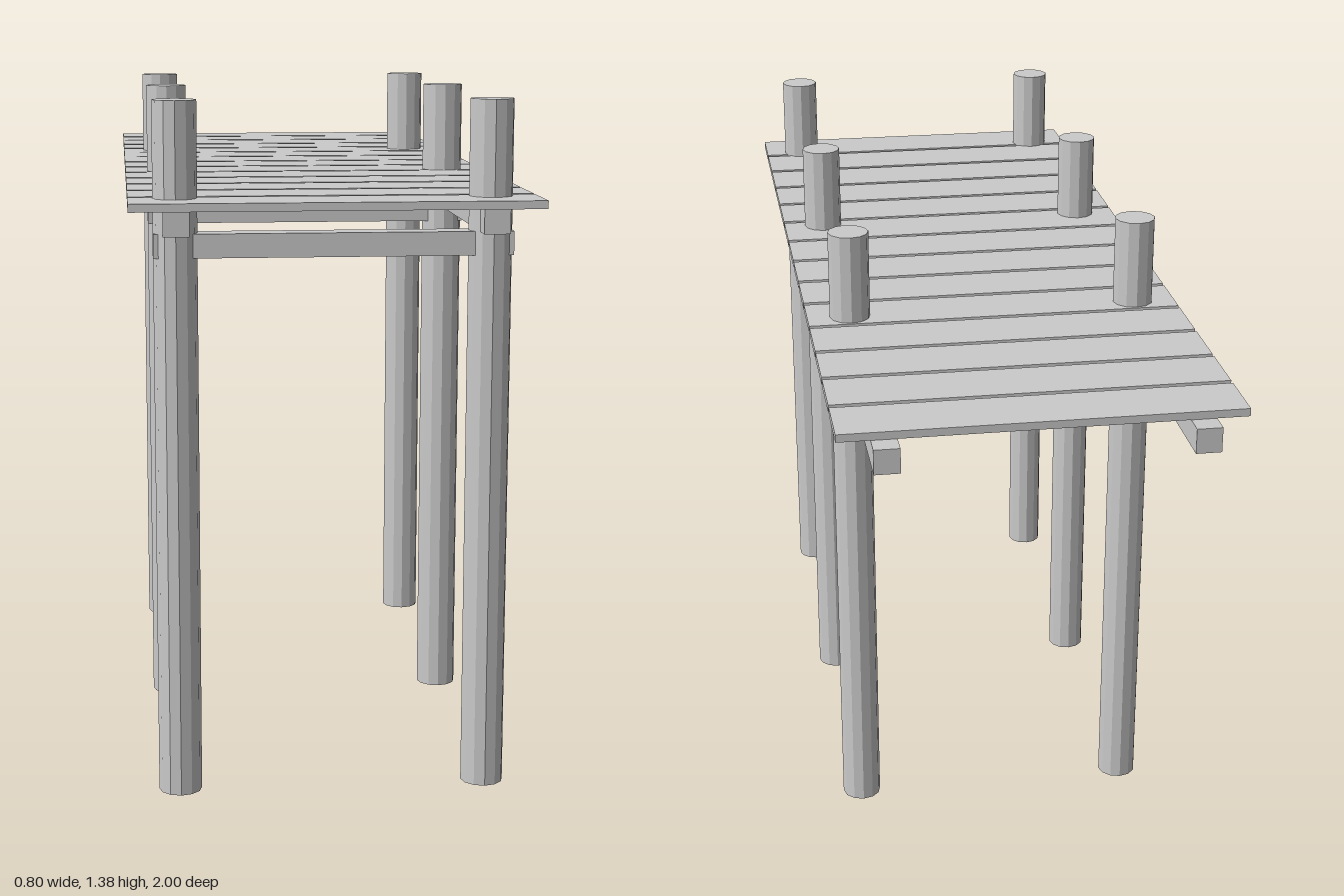
import * as THREE from 'three';

export function createModel() {
  const model = new THREE.Group();
  const material = new THREE.MeshStandardMaterial({ color: 0xcccccc, flatShading: true });

  const add = (name, geometry, x, y, z) => {
    const mesh = new THREE.Mesh(geometry, material);
    mesh.name = name;
    mesh.position.set(x, y, z);
    model.add(mesh);
  };

  const postX = 0.307, postHeight = 1.382;
  const postRows = [0.89, 0.272, -0.346];
  const deckBottom = 1.178, beam = 0.051;

  // Round posts, rising through the deck
  const post = new THREE.CylinderGeometry(0.043, 0.043, postHeight, 12);
  // Cross beams joining each pair of posts under the long beams
  const cross = new THREE.BoxGeometry(0.7, 0.047, beam);
  for (const z of postRows) {
    for (const side of [-1, 1]) add('post', post, side * postX, postHeight / 2, z);
    add('crossBeam', cross, 0, 1.1035, z);
  }

  // Long beams carrying the planks, projecting at the back
  const longBeam = new THREE.BoxGeometry(beam, beam, 1.968);
  for (const side of [-1, 1]) add('longBeam', longBeam, side * postX, deckBottom - beam / 2, -0.016);

  // Evenly spaced deck planks
  const plankCount = 14, plankWidth = 0.128, plankPitch = 0.1406, thickness = 0.016;
  const plank = new THREE.BoxGeometry(0.796, thickness, plankWidth);
  for (let i = 0; i < plankCount; i++) {
    add('deckPlank', plank, 0, deckBottom + thickness / 2, 1 - plankWidth / 2 - i * plankPitch);
  }

  return model;
}
